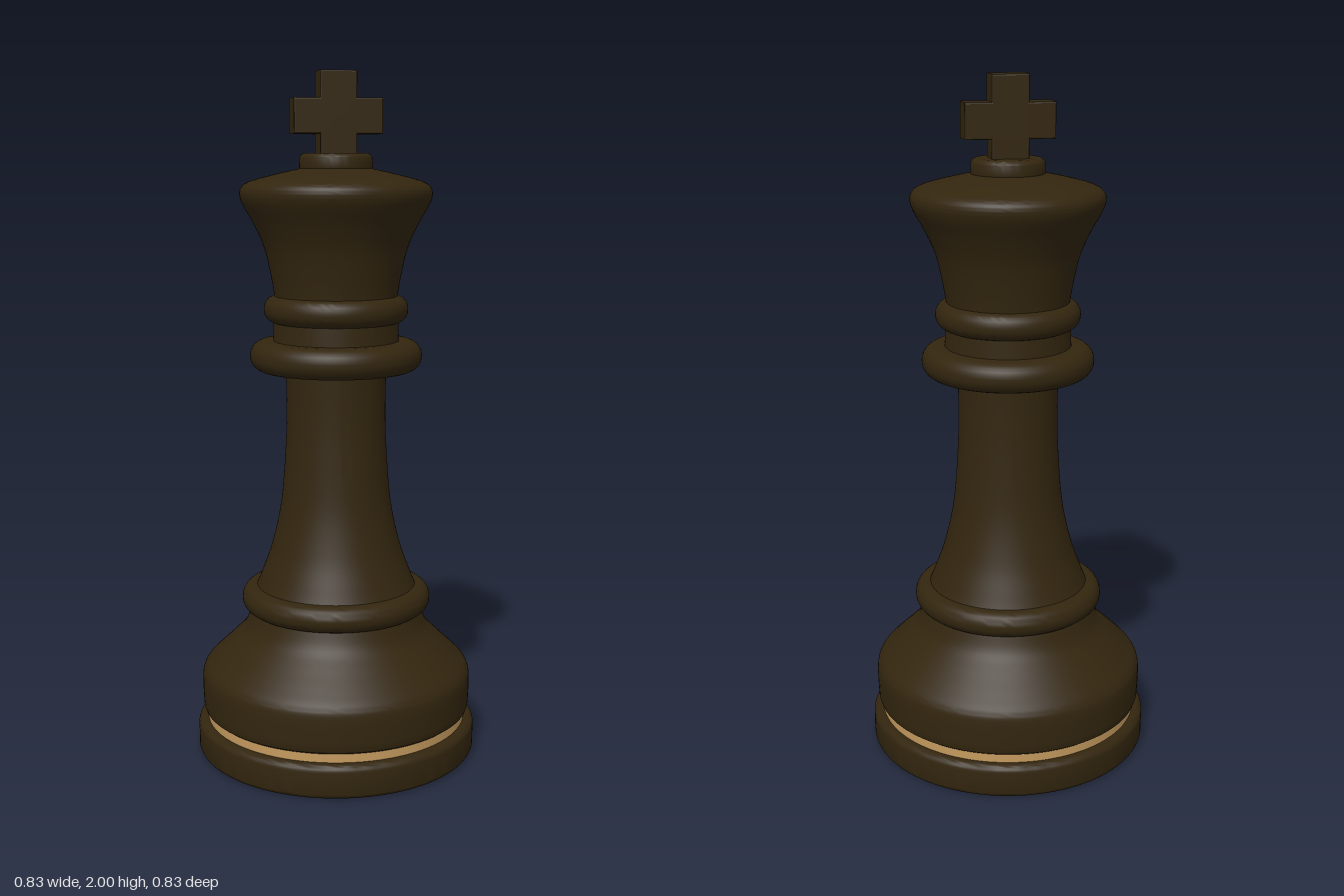
import * as THREE from 'three';
import { toCreasedNormals } from 'three/addons/utils/BufferGeometryUtils.js';

const wood = new THREE.MeshStandardMaterial({ color: 0x33260f });
wood.name = 'dark wood';
const gold = new THREE.MeshStandardMaterial({ color: 0xc49a5e });
gold.name = 'pale gold';

const SEGMENTS = 96;

// Turned part from [radius, height] points, listed bottom to top
function turned(name, points, material = wood) {
  const geometry = new THREE.LatheGeometry(points.map(([r, y]) => new THREE.Vector2(r, y)), SEGMENTS);
  const mesh = new THREE.Mesh(toCreasedNormals(geometry, 0.6), material);
  mesh.name = name;
  return mesh;
}

// Smooth curve through a few profile points
function smooth(points, steps = 28) {
  const curve = new THREE.SplineCurve(points.map(([r, y]) => new THREE.Vector2(r, y)));
  return curve.getPoints(steps).map((p) => [p.x, p.y]);
}

// Closed disc with rounded rims
function disc(name, radius, bottom, top, round) {
  const points = [[0, bottom]];
  for (const [cy, start] of [[bottom + round, -Math.PI / 2], [top - round, 0]]) {
    for (let i = 0; i <= 6; i++) {
      const a = start + (i / 6) * Math.PI / 2;
      points.push([radius - round + Math.cos(a) * round, cy + Math.sin(a) * round]);
    }
  }
  points.push([0, top]);
  return turned(name, points);
}

// Cross with equal bars and slightly softened edges
function cross() {
  const w = 0.053, arm = 0.128, low = 1.765, high = 2.0, y0 = 1.825, y1 = 1.925, b = 0.004;
  const outline = [
    [-w, low], [w, low], [w, y0], [arm, y0], [arm, y1], [w, y1],
    [w, high], [-w, high], [-w, y1], [-arm, y1], [-arm, y0], [-w, y0],
  ];
  const shape = new THREE.Shape(outline.map(([x, y]) => new THREE.Vector2(x, y)));
  const depth = 0.084 - 2 * b;
  const geometry = new THREE.ExtrudeGeometry(shape, {
    depth, bevelEnabled: true, bevelThickness: b, bevelSize: b, bevelOffset: -b, bevelSegments: 2,
  });
  geometry.translate(0, 0, -depth / 2);
  const mesh = new THREE.Mesh(geometry, wood);
  mesh.name = 'cross';
  return mesh;
}

export function createModel() {
  const model = new THREE.Group();
  model.name = 'chessKing';

  model.add(
    // Foot, inlaid band and bell-shaped body
    disc('foot', 0.416, 0, 0.1, 0.02),
    turned('band', [[0.387, 0.095], [0.387, 0.132]], gold),
    turned('body', [
      [0, 0.126], [0.388, 0.126], [0.396, 0.132],
      ...smooth([[0.4, 0.145], [0.402, 0.225], [0.393, 0.26], [0.36, 0.295],
        [0.315, 0.338], [0.273, 0.383], [0.25, 0.44]]),
    ]),
    disc('lowerRing', 0.28, 0.43, 0.507, 0.036),

    // Flared stem
    turned('stem', smooth([[0.243, 0.49], [0.222, 0.54], [0.19, 0.63], [0.162, 0.76],
      [0.148, 0.93], [0.145, 1.05], [0.147, 1.17]], 36)),

    // Collar rings and neck
    disc('collar', 0.25, 1.15, 1.238, 0.042),
    turned('neck', [[0.184, 1.22], [0.18, 1.31]]),
    disc('upperRing', 0.209, 1.29, 1.368, 0.036),

    // Crown with a shallow domed top
    turned('crown', [
      ...smooth([[0.176, 1.35], [0.185, 1.41], [0.205, 1.5], [0.235, 1.57],
        [0.266, 1.625], [0.276, 1.655], [0.27, 1.678], [0.245, 1.694],
        [0.18, 1.712], [0.1, 1.73]], 44),
      [0, 1.738],
    ]),
    disc('button', 0.105, 1.715, 1.772, 0.018),
    cross(),
  );
  return model;
}
